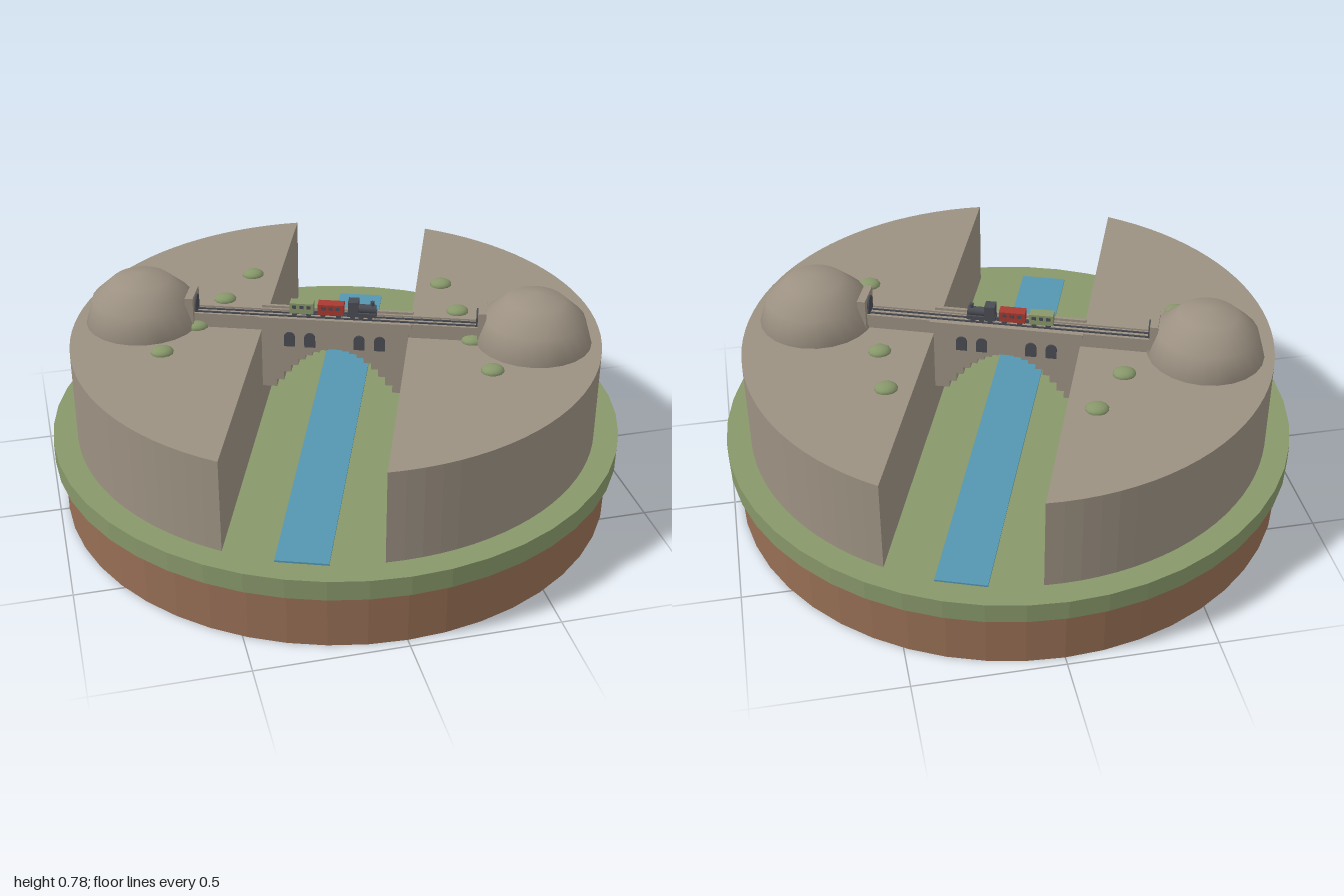
import * as THREE from 'three';

const mat = (name, color) => {
  const m = new THREE.MeshStandardMaterial({ color });
  m.name = name;
  return m;
};

export function createModel() {
  const earth = mat('earth brown', 0x966e54);
  const grass = mat('grass green', 0x87976a);
  const rock = mat('rock', 0x9c9182);
  const water = mat('water blue', 0x5595b0);
  const dark = mat('dark slate', 0x4a4c54);
  const red = mat('carriage red', 0xa83a30);

  const root = new THREE.Group();
  root.name = 'canyonRailway';
  const add = (parent, name, geo, material, x = 0, y = 0, z = 0) => {
    const mesh = new THREE.Mesh(geo, material);
    mesh.name = name;
    mesh.position.set(x, y, z);
    parent.add(mesh);
    return mesh;
  };
  const box = (parent, name, material, w, h, d, x, y, z) =>
    add(parent, name, new THREE.BoxGeometry(w, h, d), material, x, y, z);

  // Faceted round base
  const disc = (r, h) => {
    const g = new THREE.CylinderGeometry(r, r, h, 48).toNonIndexed();
    g.computeVertexNormals();
    return g;
  };
  add(root, 'earthBase', disc(0.97, 0.2), earth, 0, 0.1, 0);
  add(root, 'grassDisc', disc(1, 0.07), grass, 0, 0.235, 0);

  // Shrubs on the plateaus
  const shrubs = [[-0.2, -0.485], [-0.335, -0.31], [-0.61, 0.03], [-0.465, -0.13],
    [0.455, -0.245], [0.45, -0.025], [0.435, 0.41], [0.435, 0.195]];
  const shrubGeo = new THREE.SphereGeometry(0.04, 12, 8);
  for (const [x, z] of shrubs) add(root, 'shrub', shrubGeo, grass, x, 0.603, z).scale.set(1, 0.5, 0.88);

  // Everything else is aligned with the canyon: x across it, z along it
  const site = new THREE.Group();
  site.name = 'canyon';
  site.rotation.y = -THREE.MathUtils.degToRad(20);
  root.add(site);

  box(site, 'river', water, 0.17, 0.008, 1.83, 0, 0.272, 0);

  const gap = 0.255, rim = 0.915;
  const a = Math.acos(gap / rim);
  const cliffShape = new THREE.Shape().absarc(0, 0, rim, -a, a, false);
  const cliffGeo = new THREE.ExtrudeGeometry(cliffShape, { depth: 0.33, bevelEnabled: false, curveSegments: 20 });
  cliffGeo.rotateX(-Math.PI / 2);

  const archGeo = (w, h, depth) => {
    const s = new THREE.Shape();
    s.moveTo(-w / 2, 0);
    s.lineTo(w / 2, 0);
    s.lineTo(w / 2, h - w / 2);
    s.absarc(0, h - w / 2, w / 2, 0, Math.PI, false);
    return new THREE.ExtrudeGeometry(s, { depth, bevelEnabled: false, curveSegments: 8 });
  };
  const domeGeo = new THREE.SphereGeometry(0.2, 24, 3, 0, Math.PI * 2, 0, Math.PI / 2);
  const doorGeo = archGeo(0.055, 0.07, 0.006);

  // One bank: plateau, dome hill and tunnel portal, turned half round for the other
  for (const side of [1, -1]) {
    const bank = new THREE.Group();
    bank.name = side > 0 ? 'leftBank' : 'rightBank';
    bank.rotation.y = side > 0 ? 0 : Math.PI;
    site.add(bank);
    add(bank, 'plateau', cliffGeo, rock, 0, 0.27, 0);
    add(bank, 'domeHill', domeGeo, rock, 0.68, 0.6, 0).scale.y = 0.9;
    box(bank, 'tunnelPortal', rock, 0.028, 0.115, 0.11, 0.504, 0.657, 0);
    add(bank, 'tunnelMouth', doorGeo, dark, 0.49, 0.636, 0).rotation.y = -Math.PI / 2;
  }

  // Bridge wall with a stepped arch underneath
  const wall = new THREE.Shape();
  wall.moveTo(gap, 0.64);
  wall.lineTo(-gap, 0.64);
  const steps = 20, stepW = (gap * 2) / steps;
  for (let i = 0; i < steps; i++) {
    const u = -gap + i * stepW;
    const y = Math.max(0.38, 0.54 - 3.6 * (u + stepW / 2) ** 2);
    wall.lineTo(u, y);
    wall.lineTo(u + stepW, y);
  }
  const wallGeo = new THREE.ExtrudeGeometry(wall, { depth: 0.08, bevelEnabled: false });
  add(site, 'bridgeArch', wallGeo, rock, 0, 0, -0.04);
  box(site, 'bridgeDeck', rock, 0.98, 0.045, 0.07, 0, 0.6225, 0);

  const windowGeo = archGeo(0.038, 0.055, 0.006);
  for (const s of [1, -1]) {
    box(site, 'parapet', rock, 0.53, 0.018, 0.012, 0, 0.648, s * 0.046);
    box(site, 'deckEdge', rock, 0.98, 0.008, 0.008, 0, 0.647, s * 0.031);
    box(site, 'rail', dark, 0.97, 0.005, 0.005, 0, 0.6475, s * 0.012);
    for (const u of [-0.157, -0.086, 0.086, 0.157]) {
      const w = add(site, 'archWindow', windowGeo, dark, u, 0.545, s * 0.039);
      if (s < 0) w.rotation.y = Math.PI;
    }
  }

  // Train
  const train = new THREE.Group();
  train.name = 'train';
  site.add(train);
  const wheelGeo = new THREE.CylinderGeometry(0.009, 0.009, 0.034, 10).rotateX(Math.PI / 2);
  const carriage = (name, material, x, len) => {
    box(train, name, material, len, 0.038, 0.04, x, 0.681, 0);
    for (const i of [-1, 0, 1]) {
      for (const s of [1, -1]) box(train, 'carriageWindow', dark, 0.014, 0.012, 0.003, x + i * 0.025, 0.687, s * 0.02);
    }
    for (const s of [1, -1]) add(train, 'wheel', wheelGeo, dark, x + s * len * 0.3, 0.658, 0);
  };
  carriage('greenCarriage', grass, -0.117, 0.082);
  carriage('redCarriage', red, -0.016, 0.09);
  box(train, 'coupling', dark, 0.26, 0.006, 0.008, -0.02, 0.663, 0);
  box(train, 'engineFrame', dark, 0.1, 0.014, 0.04, 0.092, 0.667, 0);
  box(train, 'engineCab', dark, 0.036, 0.05, 0.042, 0.062, 0.69, 0);
  const boiler = new THREE.CylinderGeometry(0.016, 0.016, 0.062, 12).rotateZ(Math.PI / 2);
  add(train, 'boiler', boiler, dark, 0.109, 0.684, 0);
  add(train, 'funnel', new THREE.CylinderGeometry(0.008, 0.006, 0.02, 10), dark, 0.127, 0.703, 0);
  for (const x of [0.06, 0.09, 0.12]) add(train, 'wheel', wheelGeo, dark, x, 0.658, 0);

  return root;
}
